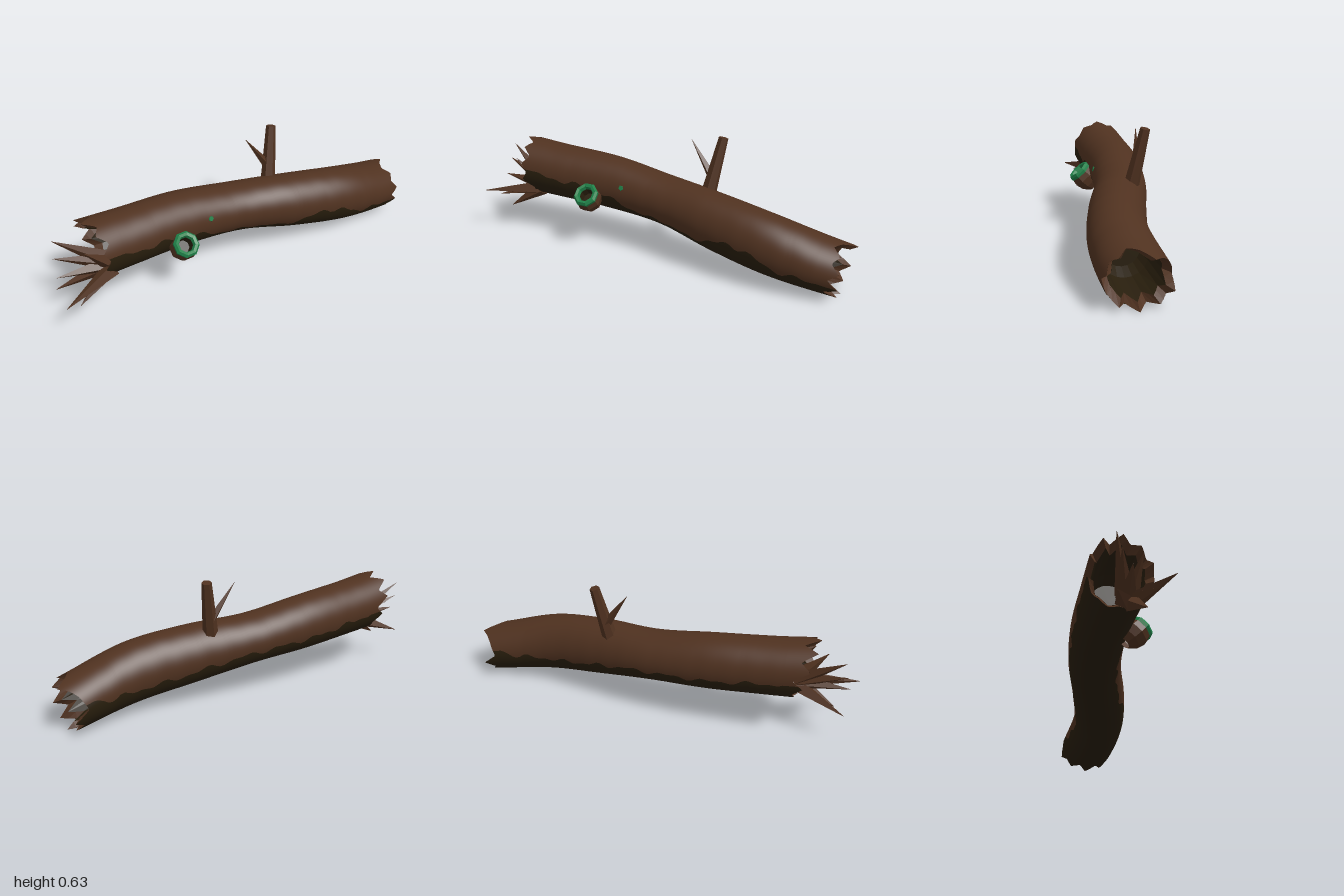
import * as THREE from 'three';

const mat = (name, color) => {
  const m = new THREE.MeshStandardMaterial({ color, side: THREE.DoubleSide });
  m.name = name;
  return m;
};

// Cross-sections of the trunk every 0.3 along x: centre y, centre z, radius y, radius z
const stations = [
  [0.363, -0.045, 0.147, 0.147], [0.34, -0.06, 0.141, 0.14], [0.318, -0.07, 0.138, 0.134], [0.285, -0.045, 0.126, 0.133],
  [0.245, 0.02, 0.144, 0.138], [0.2, 0.065, 0.148, 0.138], [0.137, 0.043, 0.128, 0.145], [0.08, 0, 0.113, 0.135],
];
const section = (x) => {
  const f = (x + 0.9) / 0.3, i = Math.min(6, Math.max(0, Math.floor(f))), t = f - i;
  const s = (k) => stations[Math.min(7, Math.max(0, k))];
  return [0, 1, 2, 3].map((c) => {
    const a = s(i - 1)[c], b = s(i)[c], d = s(i + 1)[c], e = s(i + 2)[c];
    return b + 0.5 * t * (d - a + t * (2 * a - 5 * b + 4 * d - e + t * (3 * b - a - 3 * d + e)));
  });
};

// Point on the trunk; angle 0 is the top, positive turns toward the front
const point = (x, angle, scale = 1) => {
  const [cy, cz, ry, rz] = section(x);
  return [x, cy + ry * scale * Math.cos(angle), cz + rz * scale * Math.sin(angle)];
};

// Value interpolated from a table of [key, value] pairs
const lookup = (table, k) => {
  for (let i = 1; i < table.length; i++) {
    const [a, va] = table[i - 1], [b, vb] = table[i];
    if (k <= b) return va + (vb - va) * Math.max(0, (k - a) / (b - a));
  }
  return table[table.length - 1][1];
};

// Broken edge: x of the trunk's end around the circle
const rightTeeth = [0.93, 0.9, 0.94, 0.91, 0.95, 0.9, 0.95, 0.88, 0.94, 0.87, 0.94, 0.87, 0.93, 0.9, 0.95, 0.88, 0.9, 0.92, 0.95, 0.99];
const leftTeeth = [-0.82, -0.76, -0.79, -0.74, -0.78, -0.75, -0.78, -0.72, -0.74, -0.71, -0.73, -0.71, -0.73, -0.72, -0.77, -0.72, -0.8, -0.75, -0.82, -0.75];
const edge = (teeth, angle) => {
  const n = teeth.length, f = (angle / (Math.PI * 2) + 2) * n, i = Math.floor(f);
  return THREE.MathUtils.lerp(teeth[i % n], teeth[(i + 1) % n], f - i);
};

// Limits of the damp underside, in degrees from the top
const frontLimit = [[-0.8, 88], [-0.5, 91], [-0.33, 97], [-0.2, 112], [-0.08, 128], [0, 122], [0.2, 126], [0.33, 108], [0.43, 92], [0.55, 100], [0.68, 114], [0.9, 104]];
const backLimit = [[-0.8, 96], [-0.3, 110], [0.1, 104], [0.5, 110], [0.75, 98], [0.85, 78]];
const limit = (table, x, phase) =>
  THREE.MathUtils.degToRad(lookup(table, x) + 4 * Math.sin(x * 31 + phase) + 3 * Math.sin(x * 57 + phase));

// Grid surface: fn(u, v, row) gives a point
const surface = (nu, nv, fn) => {
  const pos = [], idx = [];
  for (let j = 0; j <= nv; j++) for (let i = 0; i <= nu; i++) pos.push(...fn(i / nu, j / nv, j));
  for (let j = 0; j < nv; j++) for (let i = 0; i < nu; i++) {
    const a = j * (nu + 1) + i, b = a + nu + 1;
    idx.push(a, a + 1, b, a + 1, b + 1, b);
  }
  const g = new THREE.BufferGeometry();
  g.setAttribute('position', new THREE.Float32BufferAttribute(pos, 3));
  g.setIndex(idx);
  g.computeVertexNormals();
  return g;
};

// Splits shared vertices so every face is flat
const faceted = (geometry) => {
  const g = geometry.toNonIndexed();
  g.computeVertexNormals();
  return g;
};

export function createModel() {
  const group = new THREE.Group();
  const bark = mat('bark brown', 0x503220);
  const damp = mat('dark damp wood', 0x281e0d);
  const moss = mat('moss green', 0x1f8048);
  const add = (name, geometry, material, parent = group) => {
    const m = new THREE.Mesh(geometry, material);
    m.name = name;
    parent.add(m);
    return m;
  };

  // Trunk shell, split lengthwise into bark and damp underside
  const rows = 72;
  const shell = (from, to) => surface(40, rows, (u, v, j) => {
    const x = THREE.MathUtils.clamp(-0.68 + 1.53 * (j - 1) / (rows - 2), -0.68, 0.85);
    const a = THREE.MathUtils.lerp(from(x), to(x), u);
    return point(j === 0 ? edge(leftTeeth, a) : j === rows ? edge(rightTeeth, a) : x, a);
  });
  const front = (x) => limit(frontLimit, x, 0);
  const back = (x) => -limit(backLimit, x, 2);
  add('barkShell', shell(back, front), bark);
  add('dampUnderside', shell(front, (x) => back(x) + Math.PI * 2), damp);

  // Broken rims and hollow ends
  for (const [side, teeth, s] of [['right', leftTeeth, -1], ['left', rightTeeth, 1]]) {
    const inner = (a) => edge(teeth, a) - s * 0.035;
    add(side + 'Rim', faceted(surface(40, 1, (u, v) => {
      const a = u * Math.PI * 2;
      return v ? point(inner(a), a, 0.8) : point(edge(teeth, a), a);
    })), bark);
    add(side + 'Hollow', faceted(surface(20, 3, (u, v, j) => {
      const a = u * Math.PI * 2, deep = s > 0 ? 0.66 : -0.53;
      return point(j === 0 ? inner(a) : j === 1 ? deep + s * 0.06 : deep, a, [0.8, 0.74, 0.6, 0][j]);
    })), damp);
  }

  // Tapered stick between two points
  const stick = (name, from, to, r0, r1, sides) => {
    const a = new THREE.Vector3(...from), b = new THREE.Vector3(...to), d = b.clone().sub(a);
    const m = add(name, faceted(new THREE.CylinderGeometry(r1, r0, d.length(), sides)), bark);
    m.position.copy(a).add(b).multiplyScalar(0.5);
    m.quaternion.setFromUnitVectors(new THREE.Vector3(0, 1, 0), d.normalize());
  };

  // Branch with a twig
  stick('branch', [0.224, 0.33, -0.055], [0.278, 0.63, -0.113], 0.039, 0.024, 6);
  stick('twig', [0.237, 0.43, -0.08], [0.115, 0.605, -0.1], 0.024, 0.001, 4);

  // Splinters fanning from the broken end
  const splinters = [
    [-0.946, 0.43, -0.1], [-0.96, 0.35, -0.08], [-1, 0.225, 0.13], [-0.96, 0.155, -0.1],
    [-0.9, 0.12, 0.03], [-0.85, 0.4, 0.03], [-0.97, 0.27, -0.04], [-0.93, 0.2, 0.08],
  ];
  splinters.forEach(([x, y, z], i) =>
    stick('splinter' + (i + 1), [-0.72, 0.255 + (y - 0.26) * 0.12, -0.01 + z * 0.2], [x, y, z], 0.042, 0.001, 4));

  // Hollow knot with a thick mossy lip, tilted up and forward
  const knot = new THREE.Group();
  knot.name = 'knot';
  knot.position.set(-0.375, 0.303, 0.116);
  knot.rotation.x = 0.75;
  group.add(knot);
  const lathe = (pts) =>
    faceted(new THREE.LatheGeometry(pts.map((p) => new THREE.Vector2(...p)), 8, Math.PI / 8));
  add('knotBark', lathe([[0.03, -0.12], [0.058, -0.085], [0.069, -0.045], [0.064, -0.015]]), bark, knot);
  add('mossLip', lathe([[0.064, -0.015], [0.066, 0], [0.056, 0.012], [0.042, 0.008], [0.036, -0.01]]), moss, knot);
  add('knotHollow', lathe([[0.036, -0.01], [0.032, -0.05], [0, -0.05]]), damp, knot);

  // Small moss patch on the bark
  const patch = add('mossPatch', new THREE.CylinderGeometry(0.013, 0.015, 0.005, 5), moss);
  patch.position.set(...point(-0.2, 1.27, 1.003));
  patch.rotation.x = 1.27;

  return group;
}
